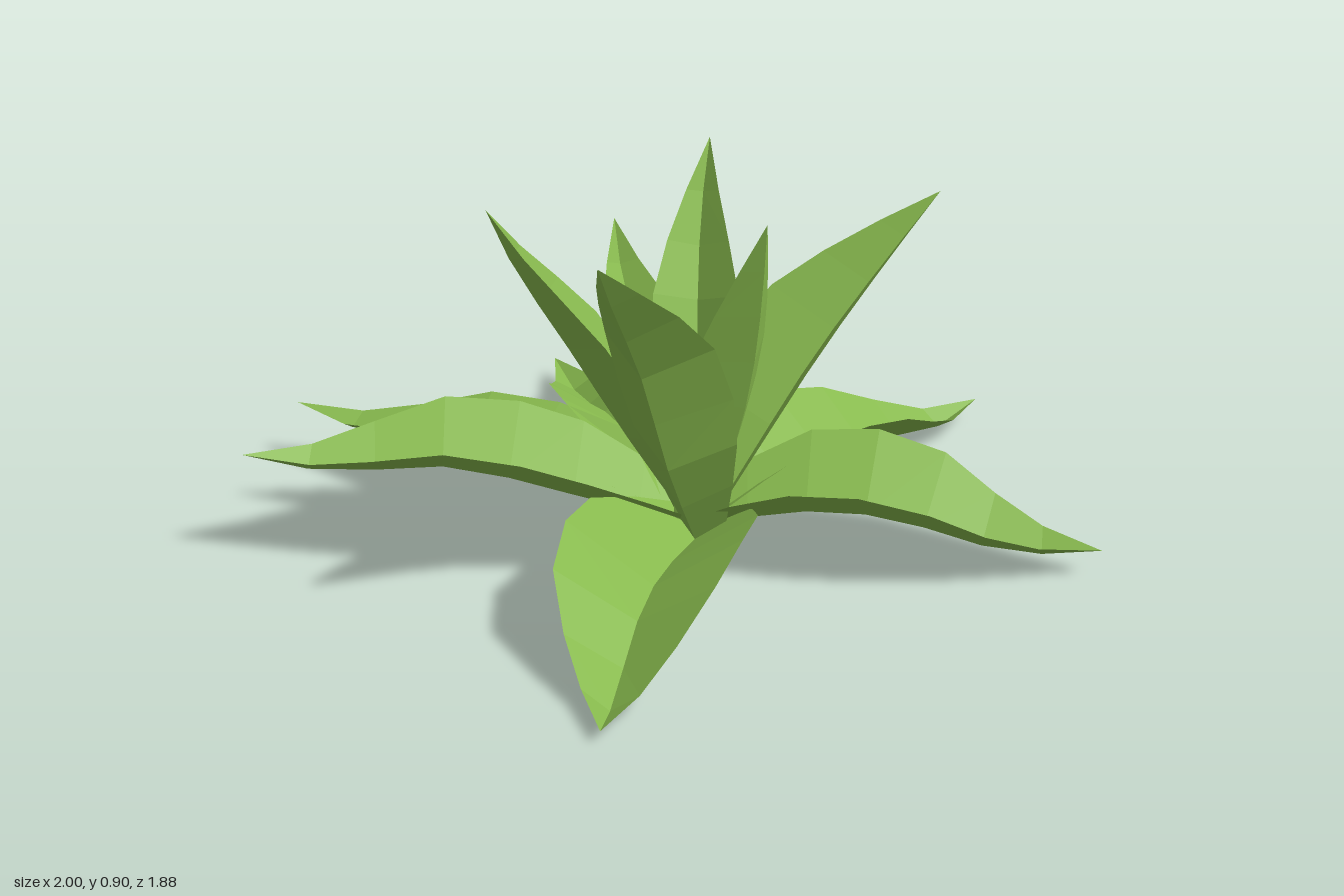
import * as THREE from 'three';

const leafGreen = new THREE.MeshStandardMaterial({ color: 0x87b94d, flatShading: true, side: THREE.DoubleSide });
leafGreen.name = 'leaf green';

// half-widths along the leaf, from base to tip
const SPREADING = [0.32, 0.68, 0.96, 1, 0.9, 0.62, 0.32, 0];
const UPRIGHT = [0.4, 0.68, 0.9, 1, 0.94, 0.68, 0.36, 0];

// V-folded blade swept along its midrib; the edges rise towards the inner face
function leaf(name, profile, midrib, width, fold) {
  const points = midrib.map((p) => new THREE.Vector3(...p));
  const curve = new THREE.CatmullRomCurve3(points);
  const heading = points[points.length - 1].clone().sub(points[0]).setY(0);
  const side = heading.cross(new THREE.Vector3(0, 1, 0)).normalize();
  const positions = [];
  const index = [];
  const last = profile.length - 1;
  profile.forEach((share, i) => {
    const mid = curve.getPointAt(i / last);
    const normal = side.clone().cross(curve.getTangentAt(i / last)).normalize();
    const w = width * share;
    for (const s of [-1, 0, 1]) {
      const p = mid.clone().addScaledVector(side, s * w).addScaledVector(normal, Math.abs(s) * w * fold);
      positions.push(p.x, p.y, p.z);
    }
    if (i === last) return;
    for (const a of [i * 3, i * 3 + 1]) index.push(a, a + 1, a + 3, a + 1, a + 4, a + 3);
  });
  const geometry = new THREE.BufferGeometry();
  geometry.setAttribute('position', new THREE.Float32BufferAttribute(positions, 3));
  geometry.setIndex(index);
  geometry.computeVertexNormals();
  const mesh = new THREE.Mesh(geometry, leafGreen);
  mesh.name = name;
  return mesh;
}

export function createModel() {
  const plant = new THREE.Group();
  plant.name = 'rosette plant';

  // low spreading leaves
  const outer = new THREE.Group();
  outer.name = 'outerLeaves';
  outer.add(
    leaf('frontLeaf', SPREADING, [[0.1, 0.04, -0.06], [0.1, 0.08, 0.26], [0.11, 0.08, 0.47], [0.145, 0, 0.78], [0.175, 0.03, 0.94]], 0.2, 0.68),
    leaf('leftLeaf', SPREADING, [[0.06, 0.04, -0.03], [0.3, 0.1, -0.06], [0.5, 0.105, -0.085], [0.8, 0.04, -0.13], [0.995, 0.06, -0.16]], 0.195, 0.66),
    leaf('rightLeaf', SPREADING, [[0.09, 0.04, -0.05], [-0.25, 0.1, -0.11], [-0.5, 0.13, -0.14], [-0.8, 0.1, -0.17], [-1, 0.14, -0.2]], 0.14, 0.6),
    leaf('frontRightLeaf', SPREADING, [[0.09, 0.05, -0.02], [-0.2, 0.14, 0.09], [-0.45, 0.2, 0.16], [-0.72, 0.2, 0.27], [-0.89, 0.25, 0.35]], 0.185, 0.62),
    leaf('backRightLeaf', SPREADING, [[0.06, 0.04, -0.04], [-0.13, 0.1, -0.26], [-0.29, 0.09, -0.47], [-0.47, 0.02, -0.73], [-0.575, 0.05, -0.86]], 0.155, 0.65),
    leaf('backLeftLeaf', SPREADING, [[0.07, 0.04, -0.04], [0.18, 0.1, -0.31], [0.3, 0.08, -0.53], [0.445, 0.02, -0.8], [0.515, 0.05, -0.94]], 0.155, 0.65),
  );

  // upright leaves around the heart
  const inner = new THREE.Group();
  inner.name = 'innerLeaves';
  inner.add(
    leaf('uprightFrontLeaf', UPRIGHT, [[0.1, 0.05, 0.06], [0.085, 0.28, 0.21], [0.06, 0.55, 0.325], [0.05, 0.79, 0.5], [0.05, 0.9, 0.58]], 0.14, 0.85),
    leaf('uprightRightLeaf', UPRIGHT, [[0.06, 0.05, -0.02], [-0.08, 0.28, 0.03], [-0.2, 0.5, 0.08], [-0.305, 0.7, 0.135], [-0.355, 0.84, 0.17]], 0.12, 0.75),
    leaf('uprightBackLeftLeaf', UPRIGHT, [[0.1, 0.05, -0.04], [0.2, 0.25, -0.17], [0.285, 0.41, -0.285], [0.4, 0.59, -0.41], [0.51, 0.75, -0.51]], 0.155, 0.75),
    leaf('uprightBackRightLeaf', UPRIGHT, [[0.04, 0.05, -0.05], [-0.08, 0.2, -0.22], [-0.16, 0.34, -0.33], [-0.24, 0.46, -0.43], [-0.29, 0.59, -0.51]], 0.11, 0.7),
    leaf('uprightBackLeaf', UPRIGHT, [[0.07, 0.05, -0.04], [0.03, 0.28, -0.17], [0, 0.48, -0.26], [-0.03, 0.68, -0.38], [-0.035, 0.84, -0.46]], 0.105, 0.8),
    leaf('uprightLeftLeaf', UPRIGHT, [[0.09, 0.05, 0], [0.17, 0.25, 0.02], [0.22, 0.45, 0.035], [0.25, 0.65, 0.06], [0.27, 0.85, 0.09]], 0.125, 0.7),
  );

  plant.add(outer, inner);
  return plant;
}
